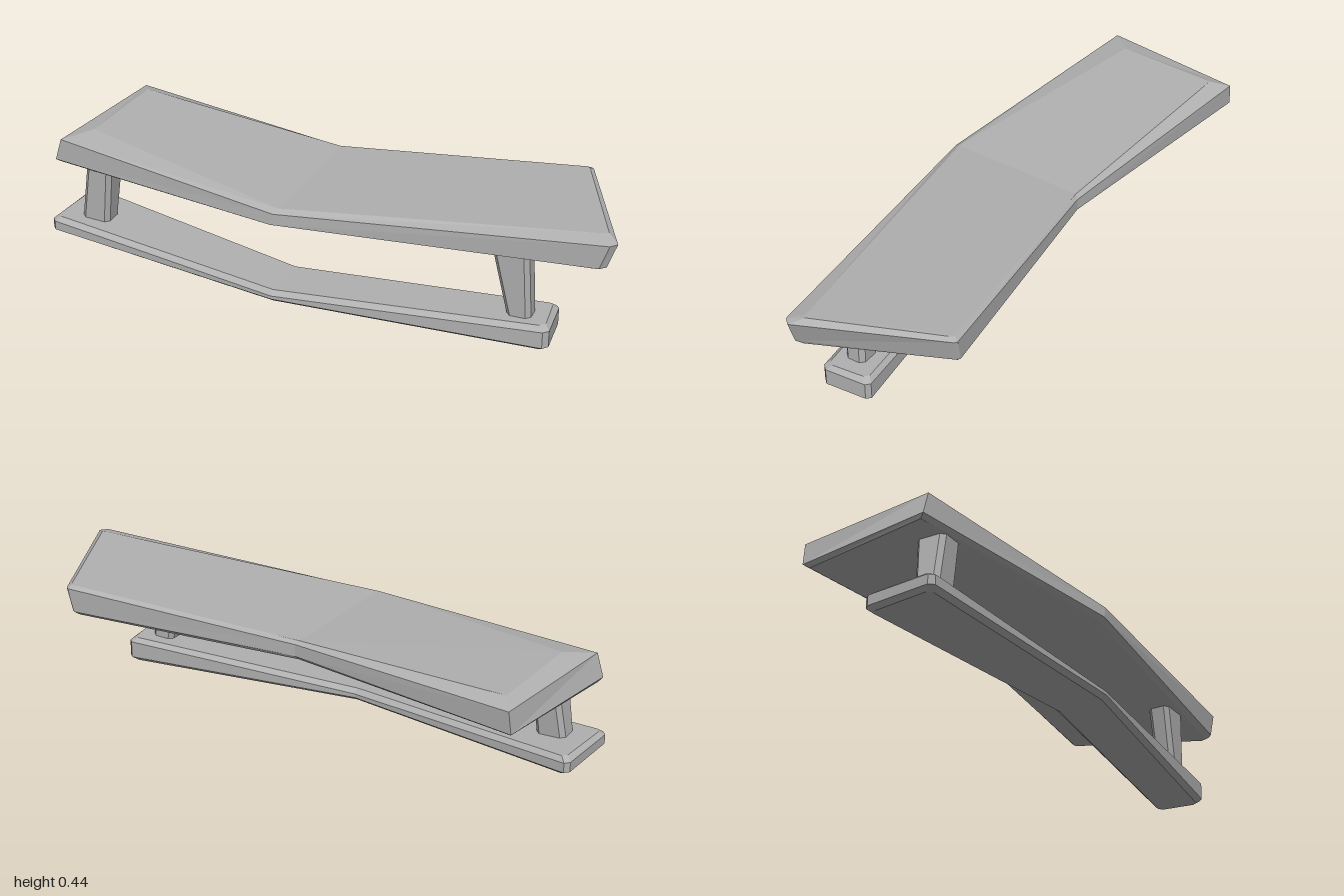
import * as THREE from 'three';

// Stack outlines into a closed solid. Each layer has a front and a back row of
// [x, y, z] points running left to right; the caps are strips between the rows.
function stackSolid(layers) {
  const pos = [];
  const quad = (a, b, c, d) => pos.push(...a, ...b, ...c, ...a, ...c, ...d);
  const rings = layers.map(l => [...l.front, ...[...l.back].reverse()]);
  for (let k = 0; k + 1 < rings.length; k++) {
    const lo = rings[k], hi = rings[k + 1], n = lo.length;
    for (let i = 0; i < n; i++) {
      const j = (i + 1) % n;
      quad(lo[i], lo[j], hi[j], hi[i]);
    }
  }
  const b = layers[0], t = layers[layers.length - 1];
  for (let i = 0; i + 1 < t.front.length; i++) {
    quad(t.front[i], t.front[i + 1], t.back[i + 1], t.back[i]);
    quad(b.front[i + 1], b.front[i], b.back[i], b.back[i + 1]);
  }
  const g = new THREE.BufferGeometry();
  g.setAttribute('position', new THREE.Float32BufferAttribute(pos, 3));
  g.computeVertexNormals();
  return g;
}

// Bent seat slab with bevelled rims
function seatGeometry() {
  return stackSolid([
    {
      front: [[-0.98, 0.32, 0.17], [-0.12, 0.32, 0.3], [0.93, 0.32, 0.17], [0.95, 0.32, 0.15]],
      back: [[-0.9, 0.32, -0.3], [-0.08, 0.32, -0.19], [0.745, 0.32, -0.285], [0.755, 0.32, -0.28]],
    },
    {
      front: [[-0.99, 0.333, 0.185], [-0.12, 0.33, 0.32], [0.945, 0.333, 0.19], [0.965, 0.333, 0.17]],
      back: [[-0.91, 0.333, -0.32], [-0.07, 0.333, -0.2], [0.755, 0.333, -0.3], [0.765, 0.333, -0.295]],
    },
    {
      front: [[-0.965, 0.413, 0.185], [-0.11, 0.37, 0.318], [0.975, 0.42, 0.19], [0.995, 0.42, 0.168]],
      back: [[-0.9, 0.41, -0.322], [-0.07, 0.375, -0.2], [0.775, 0.417, -0.305], [0.785, 0.417, -0.298]],
    },
    {
      front: [[-0.88, 0.43, 0.1], [-0.1, 0.383, 0.297], [0.94, 0.434, 0.14], [0.955, 0.435, 0.13]],
      back: [[-0.86, 0.428, -0.26], [-0.08, 0.386, -0.187], [0.765, 0.427, -0.288], [0.775, 0.427, -0.283]],
    },
  ]);
}

// Narrow bent foot beam with clipped corners: [x, z, bottom, lower, upper, top]
function baseGeometry() {
  const front = [
    [-1, 0.215, 0.066, 0.08, 0.113, 0.127], [-0.985, 0.232, 0.066, 0.08, 0.113, 0.127],
    [-0.12, 0.322, 0.034, 0.048, 0.06, 0.076],
    [0.785, 0.218, 0, 0.015, 0.075, 0.09], [0.802, 0.2, 0, 0.015, 0.075, 0.09],
  ];
  const back = [
    [-0.98, -0.012, 0.064, 0.077, 0.112, 0.127], [-0.965, -0.028, 0.064, 0.077, 0.112, 0.127],
    [-0.11, 0.125, 0.034, 0.048, 0.062, 0.078],
    [0.775, 0.038, 0, 0.015, 0.075, 0.09], [0.79, 0.052, 0, 0.015, 0.075, 0.09],
  ];
  const row = (pts, k, sign) => pts.map(p => {
    const inset = k === 0 || k === 3 ? 0.017 : 0;
    const end = Math.abs(p[0]) > 0.5 ? Math.sign(p[0]) : 0;
    return [p[0] - end * inset, p[2 + k], p[1] - sign * inset];
  });
  return stackSolid([0, 1, 2, 3].map(k => ({ front: row(front, k, 1), back: row(back, k, -1) })));
}

// Tapered post with clipped corners; each end is [y, x0, x1, z0, z1]
function legGeometry(...ends) {
  const c = 0.015;
  return stackSolid(ends.map(([y, x0, x1, z0, z1]) => ({
    front: [[x0, y, z1 - c], [x0 + c, y, z1], [x1 - c, y, z1], [x1, y, z1 - c]],
    back: [[x0, y, z0 + c], [x0 + c, y, z0], [x1 - c, y, z0], [x1, y, z0 + c]],
  })));
}

export function createModel() {
  const stone = new THREE.MeshStandardMaterial({ color: 0xb0b0b0 });
  stone.name = 'grey stone';
  const group = new THREE.Group();
  group.name = 'bench';
  const add = (name, geometry) => {
    const mesh = new THREE.Mesh(geometry, stone);
    mesh.name = name;
    group.add(mesh);
  };
  add('seat', seatGeometry());
  add('base', baseGeometry());
  add('rightLeg', legGeometry([0.1, -0.91, -0.805, 0.1, 0.18], [0.33, -0.875, -0.78, 0.08, 0.185]));
  add('leftLeg', legGeometry([0.07, 0.65, 0.73, 0.105, 0.178], [0.33, 0.59, 0.715, 0.107, 0.186]));
  return group;
}
